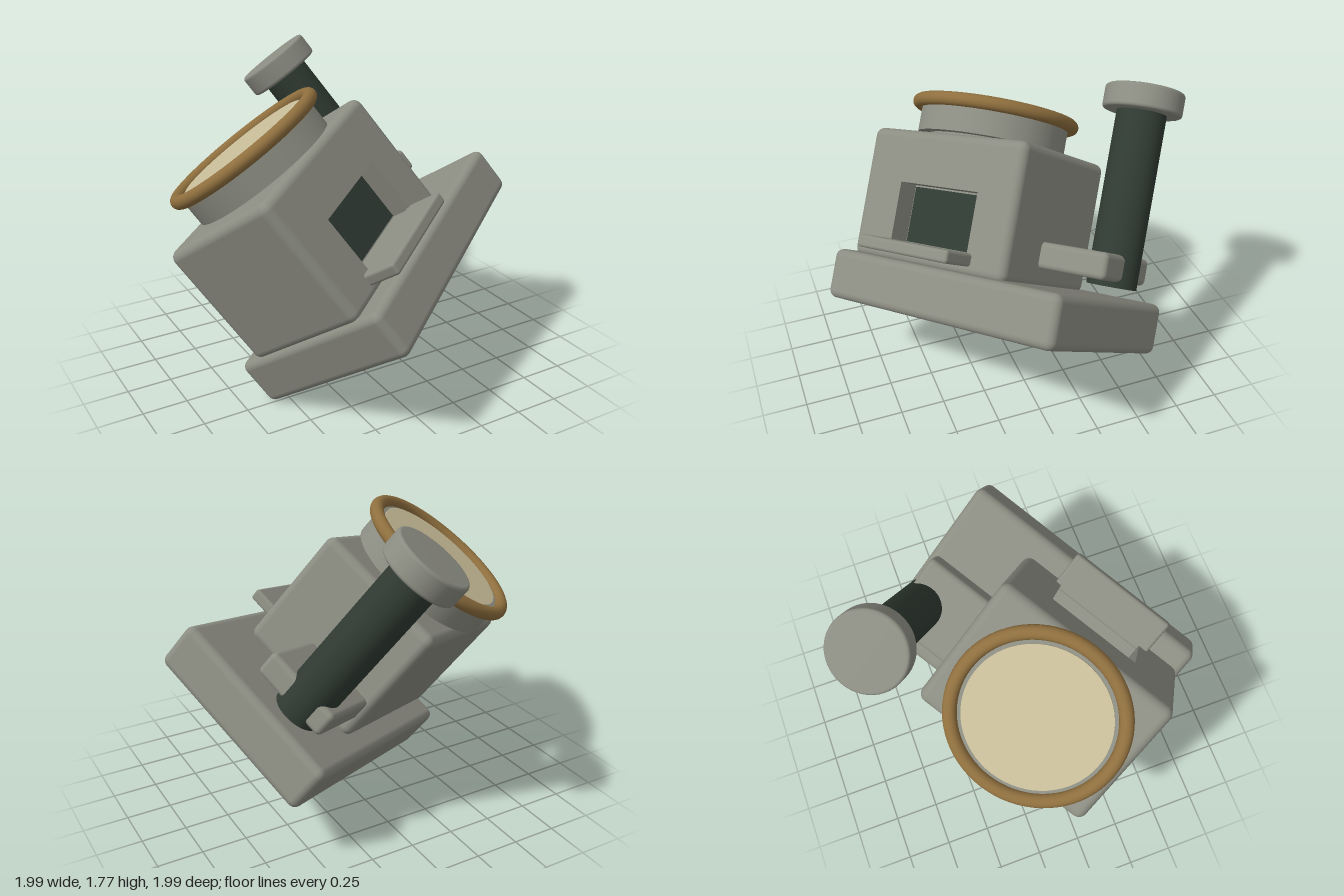
import * as THREE from 'three';
import { RoundedBoxGeometry } from 'three/addons/geometries/RoundedBoxGeometry.js';

const makeMat = (name, color) => {
  const m = new THREE.MeshStandardMaterial({ color });
  m.name = name;
  return m;
};

// Remove the flat middle of a rounded box's +z face, leaving room for a pierced panel
function openFront(geometry, depth) {
  const pos = geometry.attributes.position, nor = geometry.attributes.normal;
  const p = [], n = [];
  for (let i = 0; i < pos.count; i += 3) {
    if ([0, 1, 2].every((k) => pos.getZ(i + k) > depth / 2 - 1e-4)) continue;
    for (let k = i; k < i + 3; k++) {
      p.push(pos.getX(k), pos.getY(k), pos.getZ(k));
      n.push(nor.getX(k), nor.getY(k), nor.getZ(k));
    }
  }
  const out = new THREE.BufferGeometry();
  out.setAttribute('position', new THREE.Float32BufferAttribute(p, 3));
  out.setAttribute('normal', new THREE.Float32BufferAttribute(n, 3));
  return out;
}

// Counter-clockwise rectangle from its limits
const rectPoints = (x0, x1, y0, y1) => [[x0, y0], [x1, y0], [x1, y1], [x0, y1]]
  .map(([x, y]) => new THREE.Vector2(x, y));

// Solid of revolution with softened top and bottom edges
function softDisc(radius, y0, y1, r) {
  const pts = [new THREE.Vector2(0, y0), new THREE.Vector2(radius - r, y0)];
  for (let i = 1; i <= 4; i++) {
    const a = -Math.PI / 2 + (i * Math.PI) / 8;
    pts.push(new THREE.Vector2(radius - r + r * Math.cos(a), y0 + r + r * Math.sin(a)));
  }
  for (let i = 0; i <= 4; i++) {
    const a = (i * Math.PI) / 8;
    pts.push(new THREE.Vector2(radius - r + r * Math.cos(a), y1 - r + r * Math.sin(a)));
  }
  pts.push(new THREE.Vector2(0, y1));
  return new THREE.LatheGeometry(pts, 56);
}

export function createModel() {
  const grey = makeMat('stone grey', 0x8c8d82);
  const dark = makeMat('dark green', 0x2f3a32);
  const brass = makeMat('brass', 0x8f6f3e);
  const cream = makeMat('cream', 0xc8bc98);

  const body = new THREE.Group();
  body.name = 'tiltedAssembly';
  const add = (name, geometry, material, x = 0, y = 0, z = 0) => {
    const mesh = new THREE.Mesh(geometry, material);
    mesh.name = name;
    mesh.position.set(x, y, z);
    body.add(mesh);
    return mesh;
  };
  // Rounded box given by its limits
  const block = (name, [x0, x1], [y0, y1], [z0, z1], r) => add(name,
    new RoundedBoxGeometry(x1 - x0, y1 - y0, z1 - z0, 4, r), grey,
    (x0 + x1) / 2, (y0 + y1) / 2, (z0 + z1) / 2);

  // Base slab
  block('baseSlab', [-0.78, 0.78], [-0.14, 0.14], [-0.53, 0.53], 0.045);

  // Housing with an open front
  const x0 = -0.765, x1 = 0.33, y0 = 0.12, y1 = 0.87, depth = 0.8, r = 0.05;
  add('housing', openFront(new RoundedBoxGeometry(x1 - x0, y1 - y0, depth, 4, r), depth),
    grey, (x0 + x1) / 2, (y0 + y1) / 2, 0);

  // Front panel pierced by the window recess
  const recess = 0.125;
  const panel = new THREE.Shape(rectPoints(x0 + r, x1 - r, y0 + r, y1 - r));
  panel.holes.push(new THREE.Path(rectPoints(-0.48, 0.075, 0.235, 0.57).reverse()));
  add('frontPanel', new THREE.ExtrudeGeometry(panel, { depth: recess, bevelEnabled: false }),
    grey, 0, 0, depth / 2 - recess);
  add('recessBack', new THREE.BoxGeometry(0.6, 0.38, 0.02), grey, -0.2, 0.4, depth / 2 - recess - 0.01);
  add('windowPane', new THREE.BoxGeometry(0.535, 0.315, 0.008), dark, -0.2025, 0.4025, depth / 2 - recess + 0.004);
  block('windowSill', [-0.54, 0.11], [0.175, 0.245], [0.37, 0.6], 0.018);

  // Round drum on the roof, with rim ring and face disc
  const cx = -0.215;
  add('drumNeck', new THREE.CylinderGeometry(0.36, 0.36, 0.06, 48), grey, cx, 0.87, 0);
  add('drum', new THREE.CylinderGeometry(0.425, 0.425, 0.17, 64), grey, cx, 0.965, 0);
  add('rimRing', new THREE.TorusGeometry(0.445, 0.038, 16, 72), brass, cx, 1.05, 0).rotation.x = Math.PI / 2;
  add('faceDisc', new THREE.CylinderGeometry(0.387, 0.387, 0.008, 64), cream, cx, 1.054, 0);

  // Side bracket carrying the capped post
  block('postBracket', [0.3, 0.74], [0.23, 0.375], [-0.36, 0.1], 0.03);
  add('post', new THREE.CylinderGeometry(0.136, 0.136, 0.98, 48), dark, 0.635, 0.69, -0.175);
  add('postCap', softDisc(0.217, 1.15, 1.28, 0.018), grey, 0.635, 0, -0.175);

  // Tilt the whole assembly
  const u = new THREE.Vector3(0.802, 0.244, -0.545).normalize();
  const v = new THREE.Vector3(0.339, 0.561, 0.755).cross(u).normalize();
  const w = new THREE.Vector3().crossVectors(u, v);
  body.quaternion.setFromRotationMatrix(new THREE.Matrix4().makeBasis(u, v, w));
  body.position.set(0.14, 0.575, 0.15);

  const model = new THREE.Group();
  model.name = 'model';
  model.add(body);
  return model;
}
